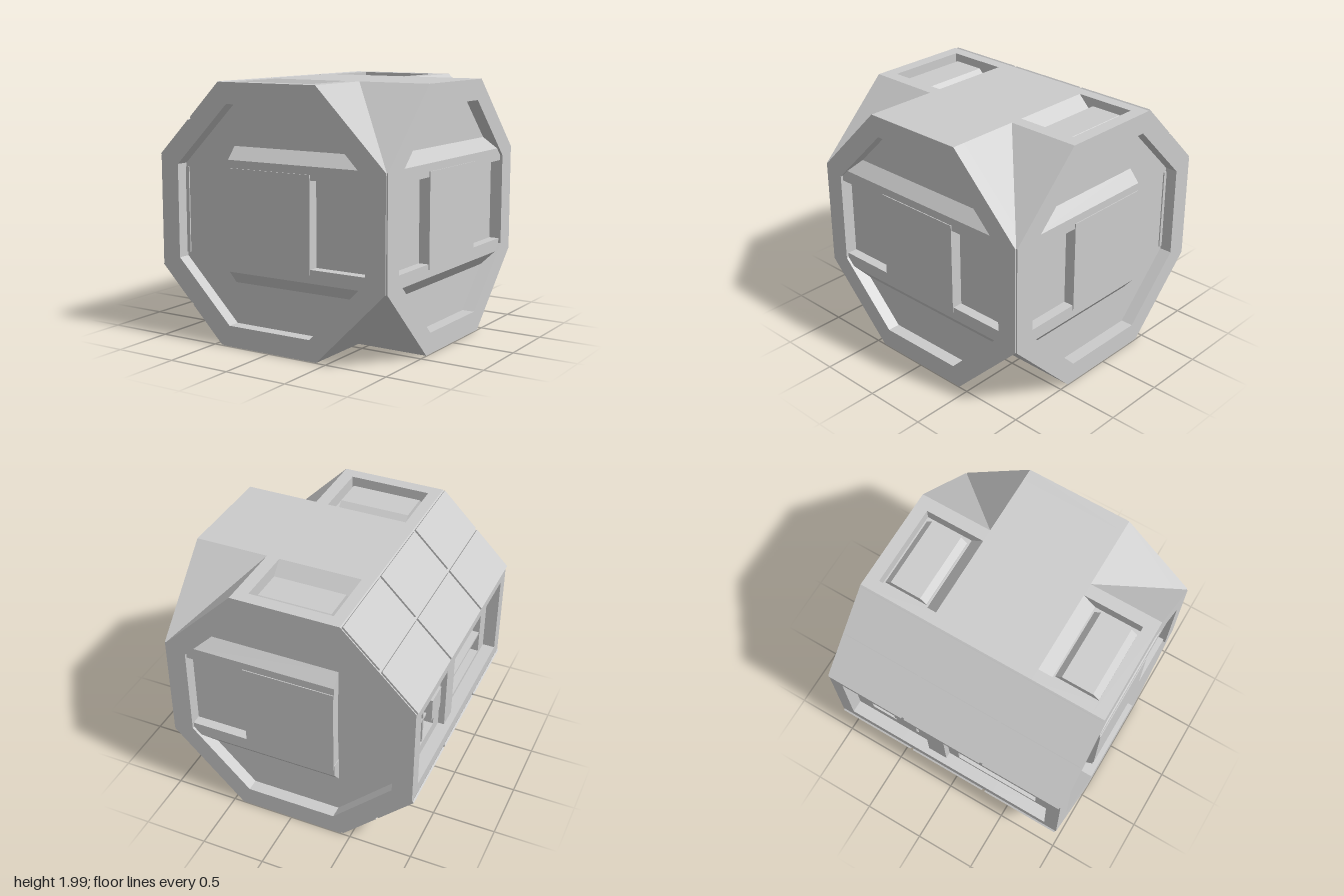
import * as THREE from 'three';

const material = new THREE.MeshStandardMaterial({ color: 0xcccccc, flatShading: true });

const toShape = pts => new THREE.Shape(pts.map(([x, y]) => new THREE.Vector2(x, y)));
const toPath = pts => new THREE.Path(pts.map(([x, y]) => new THREE.Vector2(x, y)));
const rect = (x0, x1, y0, y1) => [[x0, y0], [x1, y0], [x1, y1], [x0, y1]];

function addMesh(parent, name, geometry) {
  const mesh = new THREE.Mesh(geometry, material);
  mesh.name = name;
  parent.add(mesh);
  return mesh;
}

// Extrude an (x, y) outline from z0 to z1
function alongZ(pts, z0, z1, holes = []) {
  const shape = toShape(pts);
  shape.holes = holes.map(toPath);
  const g = new THREE.ExtrudeGeometry(shape, { depth: z1 - z0, bevelEnabled: false });
  return g.translate(0, 0, z0);
}

// Extrude a (z, y) outline from x0 to x1
function alongX(pts, x0, x1) {
  return alongZ(pts.map(([z, y]) => [-z, y]), x0, x1).rotateY(Math.PI / 2);
}

function box(x0, x1, y0, y1, z0, z1) {
  return new THREE.BoxGeometry(x1 - x0, y1 - y0, z1 - z0)
    .translate((x0 + x1) / 2, (y0 + y1) / 2, (z0 + z1) / 2);
}

// Octagon of half width r whose flat sides have half length s, centred on y = 1
const octagon = (r, s) => [
  [-s, 1 - r], [s, 1 - r], [r, 1 - s], [r, 1 + s],
  [s, 1 + r], [-s, 1 + r], [-r, 1 + s], [-r, 1 - s],
];

// Octagonal frame with a doorway, facing local +z; door band runs from x0 to x1
function doorway(name, x0, x1) {
  const group = new THREE.Group();
  group.name = name;
  addMesh(group, 'octagonFrame', alongZ(octagon(0.99, 0.42), 0.9, 1, [octagon(0.83, 0.36)]));
  for (const s of [1, -1]) {
    const profile = [[0.89, 0.32], [0.89, 0.52], [0.9, 0.515], [0.98, 0.42], [0.98, 0.32]];
    addMesh(group, s > 0 ? 'doorLintel' : 'doorSill',
      alongX(profile.map(([z, h]) => [z, 1 + s * h]), x0, x1));
  }
  addMesh(group, 'doorPanel', box(-0.365, 0.36, 0.64, 1.36, 0.89, 0.987));
  return group;
}

// Cross-section of the main hall, with the side bay and optional roof and floor notches
function hallSection(notched) {
  const floor = notched ? [[-0.33, 0.01], [-0.33, 0.11], [0.32, 0.11], [0.32, 0.01]] : [];
  const roof = notched ? [[0.32, 1.99], [0.32, 1.89], [-0.33, 1.89], [-0.33, 1.99]] : [];
  return [
    [-0.42, 0.01], ...floor, [0.42, 0.01], [0.9, 0.49], [0.9, 1.51], [0.42, 1.99], ...roof,
    [-0.42, 1.99], [-0.99, 1.42], [-0.99, 1.33], [-0.79, 1.33], [-0.79, 0.67],
    [-0.99, 0.67], [-0.99, 0.58],
  ];
}

export function createModel() {
  const model = new THREE.Group();
  model.name = 'corridorJunction';

  // Main hall and side arm
  addMesh(model, 'hallMiddle', alongZ(hallSection(false), -0.42, 0.42));
  addMesh(model, 'hallFront', alongZ(hallSection(true), 0.42, 0.9));
  addMesh(model, 'hallBack', alongZ(hallSection(true), -0.9, -0.42));
  addMesh(model, 'sideArm', alongX([
    [-0.42, 0.01], [0.42, 0.01], [0.9, 0.49], [0.9, 1.51],
    [0.42, 1.99], [-0.42, 1.99], [-0.9, 1.51], [-0.9, 0.49],
  ], 0.4, 0.9));

  // Three doorways
  model.add(doorway('frontDoorway', -0.365, 0.85));
  const back = doorway('backDoorway', -0.85, 0.365);
  back.rotation.y = Math.PI;
  const side = doorway('sideDoorway', -0.85, 0.85);
  side.rotation.y = Math.PI / 2;
  model.add(back, side);

  // Sloped ends of the roof and floor notches, and the roof hatches
  for (const s of [1, -1]) {
    for (const v of [1, -1]) {
      addMesh(model, v > 0 ? 'roofNotchSlope' : 'floorNotchSlope',
        alongX([[s * 0.42, 1 + v * 0.89], [s * 0.42, 1 + v * 0.99], [s * 0.52, 1 + v * 0.89]], -0.33, 0.32));
    }
    addMesh(model, 'roofHatch', alongX([
      [s * 0.535, 1.885], [s * 0.535, 1.9], [s * 0.585, 1.95], [s * 0.835, 1.95], [s * 0.885, 1.9], [s * 0.885, 1.885],
    ], -0.285, 0.28));
  }

  // Plates on the two outer slopes, two rows of three
  for (const v of [1, -1]) {
    for (const x of [-0.855, -0.565]) {
      for (const z of [-0.67, 0, 0.67]) {
        const plate = addMesh(model, 'slopePlate',
          new THREE.BoxGeometry(0.388, 0.015, z === 0 ? 0.65 : 0.642));
        const out = 0.0053;
        plate.position.set(x - out, 1 + v * (1.41 + x + 1 + out), z);
        plate.rotation.z = v > 0 ? Math.PI / 4 : Math.PI * 0.75;
        // the slope runs from (-0.99, 0.42) to (-0.42, 0.99) about the centre height
        plate.position.y = 1 + v * (x + 1.41 + out);
      }
    }
  }

  // Side bay: wall with cubby and shelf openings
  const bay = new THREE.Group();
  bay.name = 'sideBay';
  bay.rotation.y = -Math.PI / 2;
  addMesh(bay, 'bayWall', alongZ(rect(-0.9, 0.9, 0.67, 1.33), 0.79, 0.89,
    [rect(-0.75, -0.32, 0.76, 1.2), rect(0.05, 0.75, 0.7, 1.26)]));
  for (const y of [0.88, 1.07]) addMesh(bay, 'shelf', box(0.05, 0.75, y - 0.01, y + 0.01, 0.79, 0.885));
  addMesh(bay, 'cubbyShelf', box(-0.75, -0.32, 0.97, 0.99, 0.79, 0.885));
  addMesh(bay, 'cubbyDivider', box(-0.55, -0.53, 0.76, 1.2, 0.79, 0.885));
  addMesh(bay, 'cubbyBox', box(-0.48, -0.3, 0.93, 1.12, 0.8, 0.93));
  addMesh(bay, 'bayPost', box(-0.2, -0.04, 0.67, 1.33, 0.88, 0.94));
  // Narrow rims closing the bay at both ends
  for (const s of [1, -1]) {
    addMesh(bay, 'bayRim', box(Math.min(s * 0.89, s * 0.91), Math.max(s * 0.89, s * 0.91), 0.67, 1.33, 0.8, 0.99));
  }
  model.add(bay);

  return model;
}
